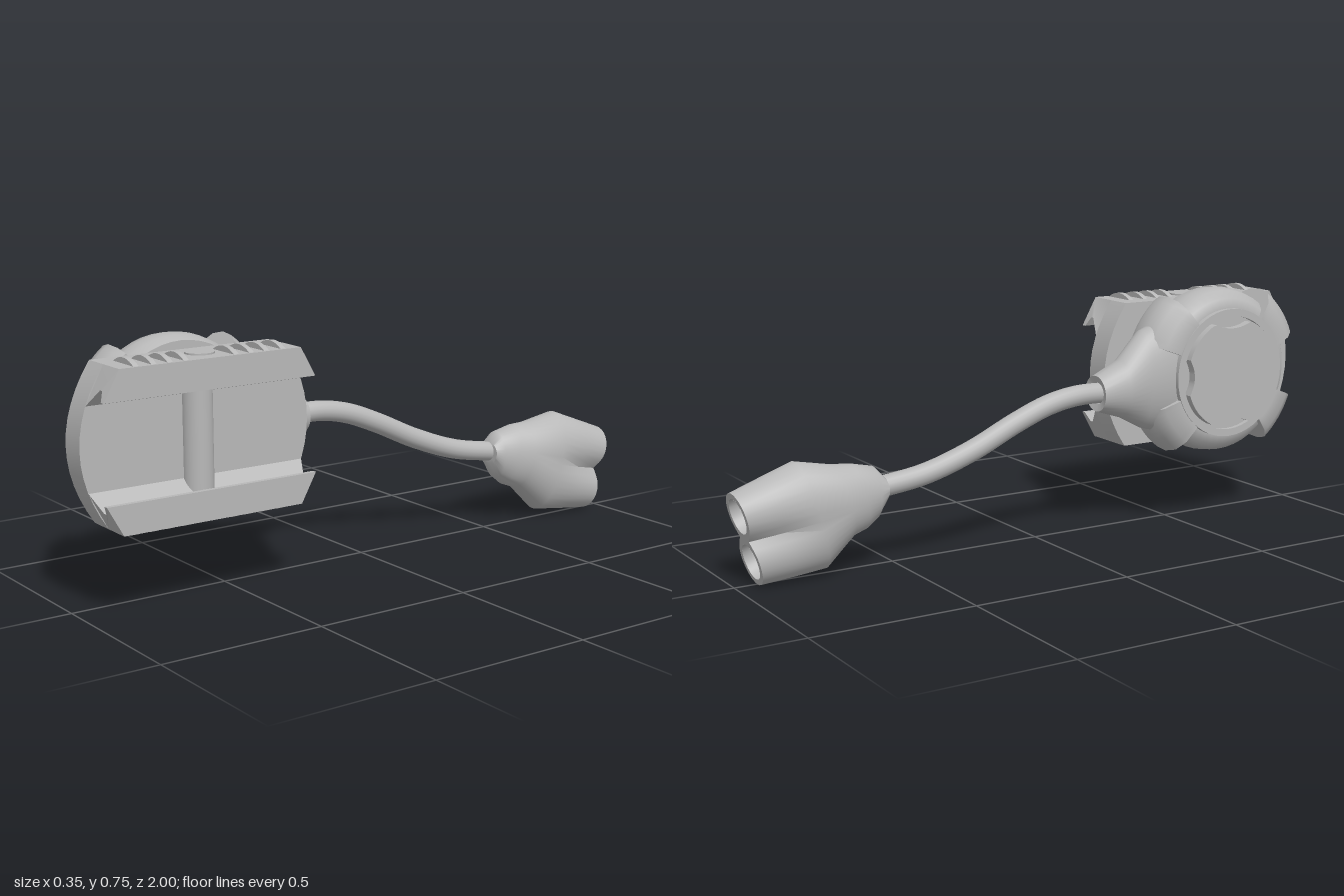
import * as THREE from 'three';
import { toCreasedNormals } from 'three/addons/utils/BufferGeometryUtils.js';

const grey = new THREE.MeshStandardMaterial({ color: 0xb8b8b8, side: THREE.DoubleSide });
grey.name = 'grey';

const V2 = (pts) => pts.map(([x, y]) => new THREE.Vector2(x, y));

function add(parent, name, geo, crease = 0.6) {
  const m = new THREE.Mesh(toCreasedNormals(geo, crease), grey);
  m.name = name;
  parent.add(m);
  return m;
}

const extrude = (pts, depth) =>
  new THREE.ExtrudeGeometry(new THREE.Shape(V2(pts)), { depth, bevelEnabled: false });

// Half width of a section: an ellipse that blends into a figure eight
function halfWidth(v, hw, pinch) {
  const ellipse = Math.sqrt(Math.max(0, 1 - v * v));
  const d = (Math.abs(v) - 0.5) / 0.5;
  const eight = Math.max(Math.sqrt(Math.max(0, 1 - d * d)), Math.abs(v) < 0.5 ? 0.45 : 0);
  return hw * (ellipse * (1 - pinch) + eight * pinch);
}

// Outline in local u, v for a section of half length L
function sectionPoints(hw, L, pinch, n = 40) {
  const pts = [];
  for (let i = 0; i < n; i++) {
    const t = (i / n) * Math.PI * 2, v = Math.sin(t);
    pts.push([Math.sign(Math.cos(t)) * halfWidth(v, hw, pinch), v * L]);
  }
  return pts;
}

// Skin through sections given as [topZ, topY, bottomZ, bottomY, halfWidth, centreX, pinch]
function loft(stations) {
  const n = 40, pos = [], idx = [];
  stations.forEach(([tz, ty, bz, by, hw, cx, pinch]) => {
    for (const [u, v] of sectionPoints(hw, 1, pinch, n))
      pos.push(cx + u, (ty + by) / 2 + (v * (ty - by)) / 2, (tz + bz) / 2 + (v * (tz - bz)) / 2);
  });
  for (let s = 0; s < stations.length - 1; s++)
    for (let i = 0; i < n; i++) {
      const a = s * n + i, b = s * n + ((i + 1) % n);
      idx.push(a, a + n, b, b, a + n, b + n);
    }
  const g = new THREE.BufferGeometry();
  g.setAttribute('position', new THREE.Float32BufferAttribute(pos, 3));
  g.setIndex(idx);
  return g;
}

// Rail clamp: curved-ended back plate with two hooked jaws
const MID_Y = 0.485, MID_Z = 0.63;
const halfLength = (y) => 0.37 - 0.08 * ((y - MID_Y) / 0.23) ** 2;

function railClamp() {
  const g = new THREE.Group();
  g.name = 'railClamp';
  const outline = [];
  for (const s of [1, -1])
    for (let i = 0; i <= 12; i++) {
      const y = MID_Y + s * (-0.23 + (0.46 * i) / 12);
      outline.push([-(MID_Z - s * halfLength(y)), y]);
    }
  add(g, 'backPlate', extrude(outline, 0.082).rotateY(Math.PI / 2).translate(0.004, 0, 0));

  const jaw = [[0.085, 0.23], [0.175, 0.23], [0.175, 0.142], [0.16, 0.142],
    [0.145, 0.17], [0.133, 0.17], [0.085, 0.12]];
  for (const s of [1, -1]) {
    const geo = extrude(jaw.map(([x, y]) => [x, MID_Y + s * y]), 1);
    const p = geo.attributes.position;
    for (let i = 0; i < p.count; i++)
      p.setZ(i, MID_Z + (p.getZ(i) * 2 - 1) * halfLength(p.getY(i)));
    add(g, s > 0 ? 'upperJaw' : 'lowerJaw', geo);

    // Grip ribs: thin arcs on either side of a flat button
    for (const dz of [0.08, 0.13, 0.18, 0.235])
      for (const side of [1, -1]) {
        const arc = [];
        for (let i = 0; i <= 10; i++) {
          const k = i / 5 - 1;
          arc.push([0.11 + 0.058 * k, MID_Y + s * (0.229 + 0.018 * (1 - k * k))]);
        }
        add(g, 'gripRib', extrude(arc, 0.016)).position.z = MID_Z - 0.008 + side * dz;
      }
    add(g, 'button', new THREE.CylinderGeometry(0.043, 0.043, 0.008, 24))
      .position.set(0.088, MID_Y + s * 0.231, 0.622);
  }
  add(g, 'crossBar', new THREE.CylinderGeometry(0.045, 0.045, 0.32, 24)).position.set(0.09, MID_Y, 0.635);
  return g;
}

// Round housing: ring, four raised collars and a notched cover (local y points to -x)
function housing() {
  const g = new THREE.Group();
  g.name = 'housing';
  const ring = [[0.19, 0], [0.25, 0], [0.262, 0.03], [0.265, 0.07], [0.258, 0.11],
    [0.235, 0.138], [0.2, 0.15], [0.185, 0.145]];
  add(g, 'ring', new THREE.LatheGeometry(V2(ring), 48), 0.9);

  const collar = [[0.19, 0], [0.29, 0], [0.305, 0.03], [0.31, 0.08], [0.297, 0.125],
    [0.262, 0.153], [0.21, 0.163], [0.19, 0.16]];
  const span = 0.56;
  for (const c of [0.64, Math.PI - 0.64, Math.PI + 0.64, -0.64]) {
    add(g, 'collar', new THREE.LatheGeometry(V2(collar), 8, c - span / 2, span), 0.9);
    for (const a of [c - span / 2, c + span / 2])
      add(g, 'collarEnd', new THREE.ShapeGeometry(new THREE.Shape(V2(collar)))).rotation.y = a - Math.PI / 2;
  }
  add(g, 'core', new THREE.CylinderGeometry(0.195, 0.195, 0.15, 48)).position.y = 0.075;
  const rim = [[0.182, 0.14], [0.182, 0.165], [0.205, 0.165], [0.205, 0.14]];
  add(g, 'rim', new THREE.LatheGeometry(V2(rim), 48));

  // Cover disc with circular bites at top, bottom and towards the cable
  const cover = [];
  const bites = [[0, 0.3, 0.155], [Math.PI, 0.3, 0.155], [Math.PI / 2, 0.24, 0.09]];
  for (let i = 0; i < 96; i++) {
    const t = (i / 96) * Math.PI * 2;
    let r = 0.176;
    for (const [a, d, rb] of bites) {
      const h = rb * rb - (d * Math.sin(t - a)) ** 2;
      if (h > 0 && Math.cos(t - a) > 0) r = Math.min(r, d * Math.cos(t - a) - Math.sqrt(h));
    }
    cover.push([r * Math.cos(t), r * Math.sin(t)]);
  }
  add(g, 'cover', extrude(cover, 0.03).rotateX(-Math.PI / 2)).position.y = 0.148;

  g.rotation.z = Math.PI / 2;
  g.position.set(0.002, 0.49, 0.63);
  return g;
}

// Twin-socket head at the free end of the cable
function head() {
  const g = new THREE.Group();
  g.name = 'head';
  const end = [-1, 0.28, -0.93, 0.005, 0.072, -0.003, 1];
  add(g, 'headShell', loft([
    [-0.543, 0.265, -0.543, 0.225, 0.02, -0.034, 0],
    [-0.545, 0.28, -0.54, 0.21, 0.045, -0.033, 0],
    [-0.575, 0.312, -0.57, 0.155, 0.055, -0.032, 0],
    [-0.645, 0.327, -0.6, 0.13, 0.066, -0.03, 0],
    [-0.7, 0.33, -0.645, 0.113, 0.08, -0.025, 0],
    [-0.815, 0.352, -0.73, 0.027, 0.095, -0.018, 0.1],
    [-0.91, 0.315, -0.83, 0.015, 0.088, -0.01, 0.5],
    end,
  ]), 0.8);

  const L = Math.hypot(end[0] - end[2], end[1] - end[3]) / 2;
  const v = new THREE.Vector3(0, end[1] - end[3], end[0] - end[2]).normalize();
  const u = new THREE.Vector3(-1, 0, 0);
  const face = new THREE.Group();
  face.name = 'endFace';
  face.quaternion.setFromRotationMatrix(new THREE.Matrix4().makeBasis(u, v, u.clone().cross(v)));
  face.position.set(end[5], (end[1] + end[3]) / 2, (end[0] + end[2]) / 2);
  const shape = new THREE.Shape(V2(sectionPoints(end[4], L, 1)));
  for (const s of [1, -1]) {
    shape.holes.push(new THREE.Path().absarc(0, s * L / 2, 0.054, 0, Math.PI * 2, true));
    add(face, 'socketWall', new THREE.CylinderGeometry(0.054, 0.054, 0.05, 24, 1, true).rotateX(Math.PI / 2))
      .position.set(0, s * L / 2, -0.025);
    add(face, 'socketFloor', new THREE.CircleGeometry(0.054, 24)).position.set(0, s * L / 2, -0.05);
    const dome = add(face, 'lens', new THREE.SphereGeometry(0.042, 20, 12));
    dome.position.set(0, s * L / 2, -0.05);
    dome.scale.z = 0.7;
  }
  add(face, 'endRim', new THREE.ShapeGeometry(shape, 24));
  g.add(face);
  return g;
}

export function createModel() {
  const model = new THREE.Group();
  model.name = 'clampWithCable';
  model.add(railClamp(), housing(), head());

  // Link between housing and clamp
  add(model, 'link', new THREE.BoxGeometry(0.032, 0.056, 0.62)).position.set(-0.01, 0.507, 0.61);

  // Flared neck, with a closed lip round the cable
  add(model, 'neck', loft([
    [0.18, 0.485, 0.18, 0.425, 0.03, -0.08, 0],
    [0.17, 0.512, 0.172, 0.4, 0.056, -0.08, 0],
    [0.26, 0.555, 0.26, 0.372, 0.066, -0.08, 0],
    [0.34, 0.64, 0.34, 0.33, 0.076, -0.078, 0],
    [0.44, 0.68, 0.44, 0.3, 0.074, -0.076, 0],
  ]), 0.8);

  // Flexible cable
  const path = new THREE.CatmullRomCurve3([
    [-0.08, 0.457, 0.22], [-0.08, 0.457, 0.1], [-0.076, 0.438, 0], [-0.07, 0.395, -0.11],
    [-0.063, 0.325, -0.26], [-0.05, 0.272, -0.41], [-0.034, 0.244, -0.57],
  ].map((p) => new THREE.Vector3(...p)));
  add(model, 'cable', new THREE.TubeGeometry(path, 48, 0.032, 16));
  return model;
}
